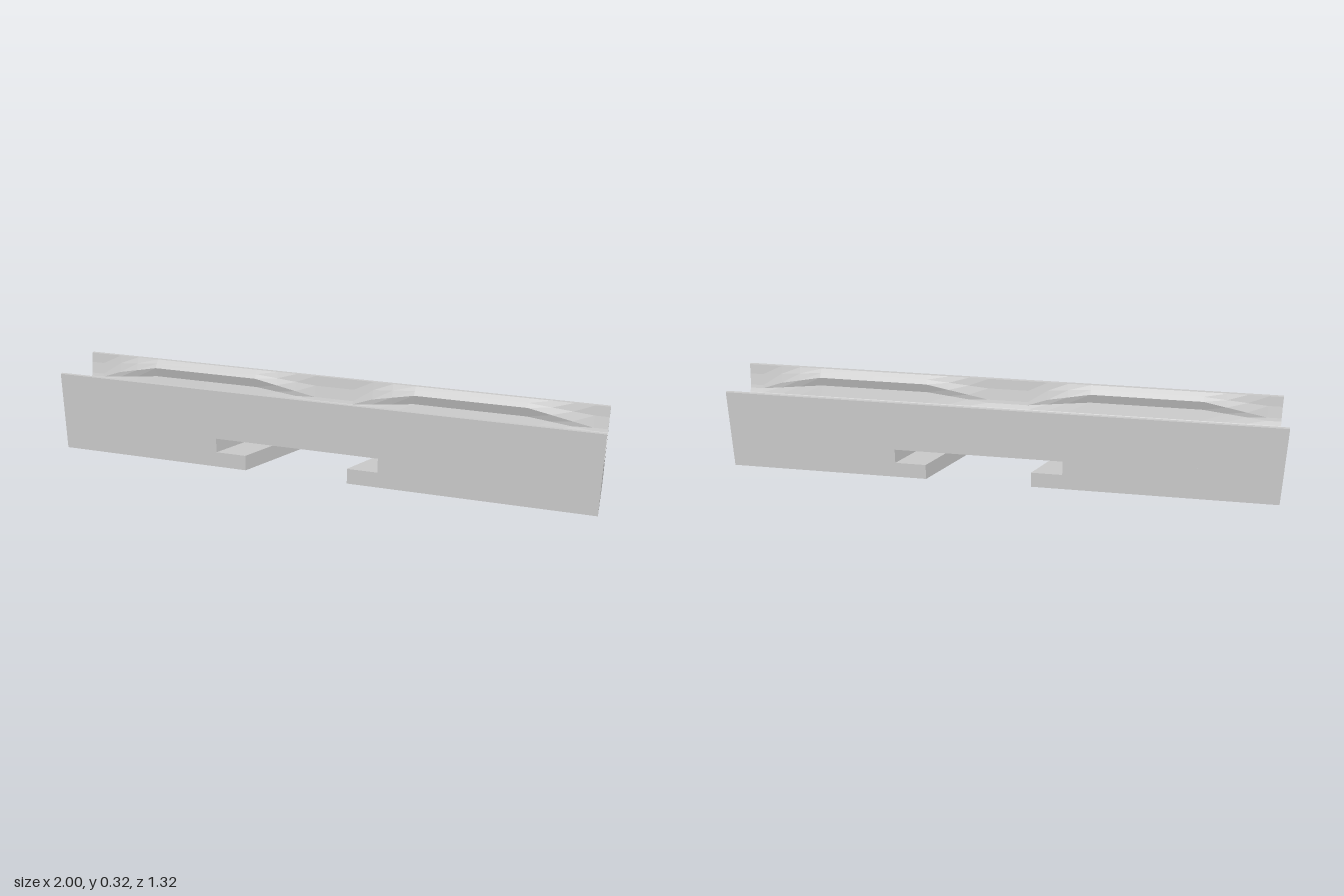
import * as THREE from 'three';

const L = 1.074;   // half length
const W = 0.141;   // half width
const H = 0.325;   // height
const SPLIT = 0.135; // joint between slotted base and channel
const ANGLE = Math.PI / 6;

// Base block: T-slot outline extruded across, slot walls skewed to the block
function slottedBase() {
  const c = Math.cos(ANGLE), lip = 0.18 / c, wide = 0.285 / c;
  const shape = new THREE.Shape([
    [-L, 0], [-lip, 0], [-lip, 0.063], [-wide, 0.063], [-wide, 0.122],
    [wide, 0.122], [wide, 0.063], [lip, 0.063], [lip, 0], [L, 0], [L, SPLIT], [-L, SPLIT],
  ].map(([x, y]) => new THREE.Vector2(x, y)));
  const g = new THREE.ExtrudeGeometry(shape, { depth: 2 * W, bevelEnabled: false });
  g.translate(0, 0, -W);
  const p = g.attributes.position;
  for (let i = 0; i < p.count; i++) {
    if (Math.abs(p.getX(i)) < 1) p.setX(i, p.getX(i) - p.getZ(i) * Math.tan(ANGLE));
  }
  g.computeVertexNormals();
  return g;
}

// Channel half-profile; b = 0 is the plain U, b = 1 has the full snap ridge
function section(b) {
  const mix = (p, q) => [p[0] + (q[0] - p[0]) * b, p[1] + (q[1] - p[1]) * b];
  const half = [
    [W, SPLIT], [W, H], [0.128, H],
    mix([0.123, 0.285], [0.114, 0.311]),
    mix([0.112, 0.24], [0.1, 0.296]),
    mix([0.108, 0.228], [0.114, 0.255]),
    [0.1, 0.213], [0.083, 0.187], [0.063, 0.168], [0.045, 0.154],
    [0.026, 0.145], [0.019, 0.148], [0.015, 0.162], [0.007, 0.157],
  ];
  const mirrored = half.map(([v, y]) => [-v, y]).reverse();
  return [...half, ...mirrored].map(([v, y]) => new THREE.Vector2(v, y));
}

// Two pairs of ridges that fade in and out along the channel
function ridge(u) {
  const t = (0.47 - Math.abs(Math.abs(u) - 0.55)) / 0.25;
  return THREE.MathUtils.clamp(t, 0, 1);
}

function channel() {
  const side = [0.08, 0.16, 0.24, 0.33, 0.55, 0.77, 0.86, 0.94, 1.02, L];
  const us = [...side.map(u => -u).reverse(), 0, ...side];
  const rings = us.map(u => section(ridge(u)).map(p => new THREE.Vector3(u, p.y, p.x)));
  const pos = [];
  const tri = (...pts) => pts.forEach(p => pos.push(p.x, p.y, p.z));
  const n = rings[0].length;
  for (let i = 0; i < rings.length - 1; i++) {
    for (let j = 0; j < n; j++) {
      const k = (j + 1) % n, a = rings[i], d = rings[i + 1];
      tri(a[j], d[j], d[k]);
      tri(a[j], d[k], a[k]);
    }
  }
  // End caps
  const first = rings[0], last = rings[rings.length - 1];
  for (const [a, b, c] of THREE.ShapeUtils.triangulateShape(section(0), [])) {
    tri(first[a], first[b], first[c]);
    tri(last[a], last[c], last[b]);
  }
  const g = new THREE.BufferGeometry();
  g.setAttribute('position', new THREE.Float32BufferAttribute(pos, 3));
  g.computeVertexNormals();
  return g;
}

export function createModel() {
  const grey = new THREE.MeshStandardMaterial({ color: 0xc8c8c8 });
  grey.name = 'light grey';
  const group = new THREE.Group();
  group.name = 'channelHolder';
  const add = (name, geometry) => {
    const mesh = new THREE.Mesh(geometry, grey);
    mesh.name = name;
    group.add(mesh);
  };
  add('slottedBase', slottedBase());
  add('channel', channel());
  group.rotation.y = ANGLE;
  const model = new THREE.Group();
  model.name = 'model';
  model.add(group);
  return model;
}
